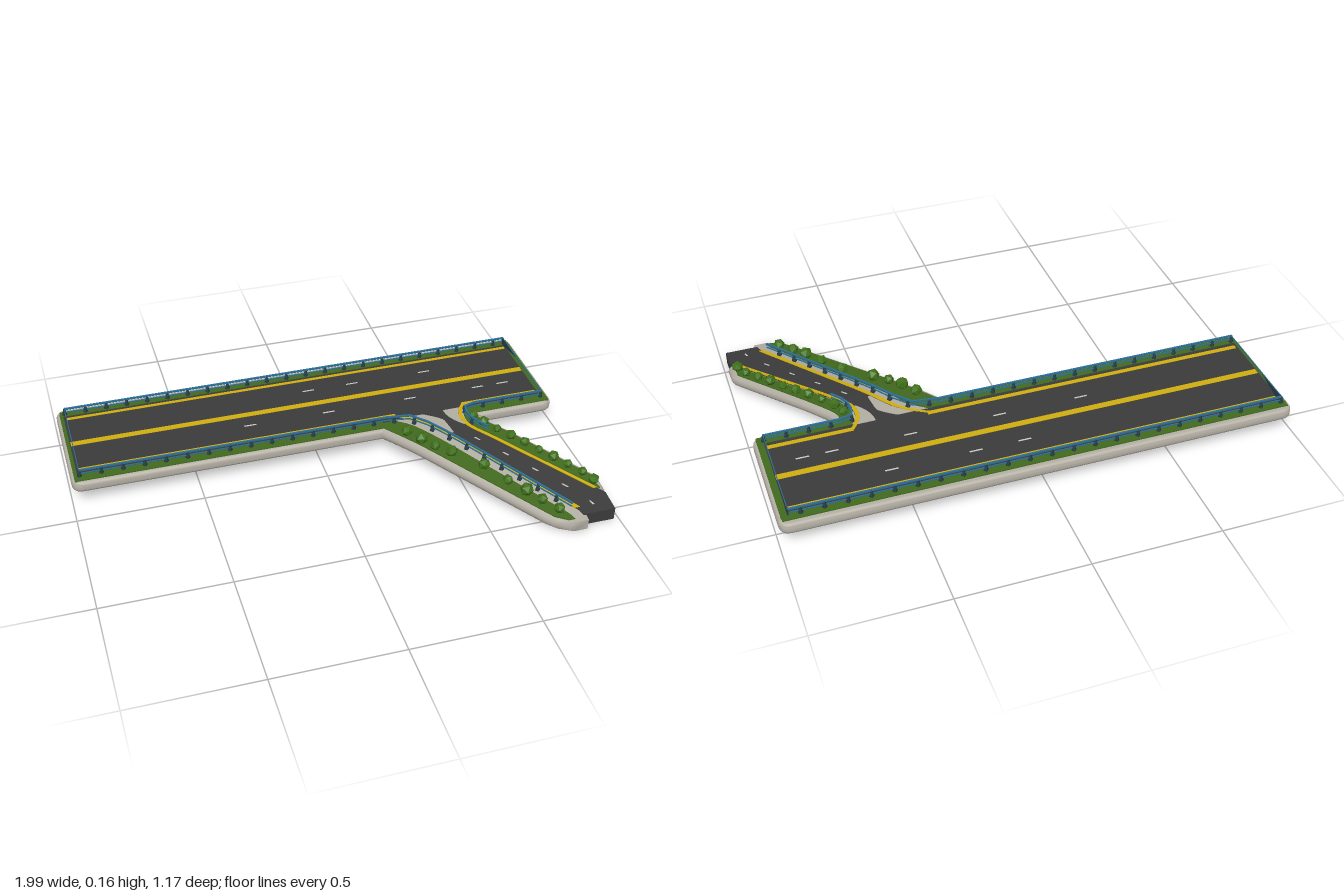
import * as THREE from 'three';
import { toCreasedNormals } from 'three/addons/utils/BufferGeometryUtils.js';

const mat = (name, color) => {
  const m = new THREE.MeshStandardMaterial({ color });
  m.name = name;
  return m;
};

export function createModel() {
  const root = new THREE.Group();
  root.name = 'highwayJunction';
  const concrete = mat('concrete', 0xb3aea3), asphalt = mat('asphalt', 0x3b3b3c);
  const grass = mat('grass', 0x41691f), leaf = mat('leaf', 0x3f7019);
  const yellow = mat('yellowPaint', 0xcfae10), white = mat('whitePaint', 0xc8c8c4);
  const blue = mat('blueRail', 0x2c6f98), post = mat('fencePost', 0x2b3f4a);

  const add = (name, geo, material, parent = root) => {
    const m = new THREE.Mesh(geo, material);
    m.name = name;
    parent.add(m);
    return m;
  };

  // The ramp slopes down with z; the main deck is level
  const drop = z => (z < -0.06 ? 0 : z < 0.1 ? -0.375 * (z + 0.06) ** 2 : -0.0096 - 0.12 * (z - 0.1));

  // Ramp edges as x for each z
  const outerL = z => 0.31 + 0.745 * z + Math.max(0, z - 0.55) * 1.2;
  const roadL = z => 0.487 + 0.67 * z - 6 * Math.max(0, -0.06 - z) ** 2;
  const roadR = z => Math.min(0.98, 0.615 + 0.78 * z + 4.4 * Math.max(0, 0.02 - z) ** 2);
  const outerR = z => Math.min(0.99, 0.72 + 0.735 * z + 8 * Math.max(0, -0.03 - z) ** 2);

  // Solid swept along z through counter-clockwise x,y sections
  const loft = (name, z0, z1, section, material) => {
    const rows = 24, pos = [], idx = [];
    let n = 0;
    for (let i = 0; i <= rows; i++) {
      const z = z0 + (z1 - z0) * i / rows, s = section(z);
      n = s.length;
      for (const [x, y] of s) pos.push(x, y + drop(z), z);
    }
    for (let i = 0; i < rows; i++) for (let j = 0; j < n; j++) {
      const a = i * n + j, b = i * n + (j + 1) % n;
      idx.push(a, b, b + n, a, b + n, a + n);
    }
    for (let j = 1; j < n - 1; j++) {
      const e = rows * n;
      idx.push(0, j + 1, j, e, e + j, e + j + 1);
    }
    const g = new THREE.BufferGeometry();
    g.setAttribute('position', new THREE.Float32BufferAttribute(pos, 3));
    g.setIndex(idx);
    return add(name, toCreasedNormals(g, 0.8), material);
  };
  const strip = (name, z0, z1, xa, xb, y0, y1, material) =>
    loft(name, z0, z1, z => [[xa(z), y0], [xb(z), y0], [xb(z), y1], [xa(z), y1]], material);

  // Level plate on the main deck
  const plate = (name, x0, x1, z0, z1, y0, y1, material) =>
    add(name, new THREE.BoxGeometry(x1 - x0, y1 - y0, z1 - z0), material)
      .position.set((x0 + x1) / 2, (y0 + y1) / 2, (z0 + z1) / 2);

  // Main deck slab with rounded rim
  const b = 0.014, x = 0.995 - b, zb = 0.59 - b, zf = 0.08 + b, r = 0.03;
  const s = new THREE.Shape();
  s.moveTo(-x + r, zf);
  s.lineTo(x - r, zf); s.quadraticCurveTo(x, zf, x, zf + r);
  s.lineTo(x, zb - r); s.quadraticCurveTo(x, zb, x - r, zb);
  s.lineTo(-x + r, zb); s.quadraticCurveTo(-x, zb, -x, zb - r);
  s.lineTo(-x, zf + r); s.quadraticCurveTo(-x, zf, -x + r, zf);
  const slab = new THREE.ExtrudeGeometry(s, {
    depth: 0.045 - 2 * b, bevelThickness: b, bevelSize: b, bevelSegments: 4, curveSegments: 6,
  });
  slab.rotateX(-Math.PI / 2);
  slab.translate(0, 0.07 + b, 0);
  add('mainDeck', toCreasedNormals(slab, 0.7), concrete);
  plate('mainUnderside', -0.975, 0.975, -0.575, -0.095, 0.0685, 0.072, asphalt);

  // Main grass border and carriageway
  plate('grassBack', -0.98, 0.98, -0.565, -0.52, 0.112, 0.119, grass);
  plate('grassFrontRight', -0.98, 0.27, -0.14, -0.096, 0.112, 0.119, grass);
  plate('grassFrontLeft', 0.63, 0.98, -0.14, -0.096, 0.112, 0.119, grass);
  for (const k of [-1, 1]) {
    plate('grassEnd', k * 0.968 - 0.014, k * 0.968 + 0.014, -0.55, -0.1, 0.112, 0.1185, grass);
  }
  plate('mainRoad', -0.968, 0.957, -0.53, -0.135, 0.112, 0.12, asphalt);
  plate('stripeBack', -0.96, 0.95, -0.516, -0.501, 0.119, 0.1215, yellow);
  plate('stripeMiddle', -0.965, 0.955, -0.349, -0.322, 0.119, 0.1215, yellow);
  plate('stripeFrontRight', -0.96, 0.335, -0.172, -0.153, 0.119, 0.1215, yellow);
  plate('stripeFrontLeft', 0.625, 0.95, -0.172, -0.153, 0.119, 0.1215, yellow);
  for (const [dx, dz] of [[0.04, -0.43], [0.23, -0.43], [0.55, -0.43], [-0.25, -0.26],
    [0.08, -0.26], [0.43, -0.26], [0.73, -0.26], [0.84, -0.26]]) {
    plate('laneDash', dx - 0.025, dx + 0.025, dz - 0.003, dz + 0.003, 0.119, 0.1215, white);
  }

  // Ramp shoulders with rounded outer edges
  const shoulder = (out, inn, k) => z => {
    const o = out(z), i = inn(z);
    const pts = [[i, 0.07], [o - k * 0.016, 0.07], [o - k * 0.004, 0.078], [o, 0.092],
      [o - k * 0.004, 0.107], [o - k * 0.016, 0.115], [i, 0.115]];
    return k > 0 ? pts : pts.reverse();
  };
  loft('rampShoulderRight', -0.1, 0.585, shoulder(outerL, z => Math.min(0.86, roadL(z) + 0.01), -1), concrete);
  loft('rampShoulderLeft', -0.1, 0.45, shoulder(outerR, z => roadR(z) - 0.01, 1), concrete);
  strip('rampUnderside', -0.1, 0.45, z => outerL(z) + 0.016, z => outerR(z) - 0.016, 0.0685, 0.073, asphalt);
  strip('rampRoad', -0.15, 0.56, z => Math.min(0.85, roadL(z)), roadR, 0.068, 0.1195, asphalt);

  // Ramp planting strips and edge lines
  strip('rampGrassRight', -0.13, 0.57, z => outerL(z) + 0.025,
    z => Math.min(roadL(z) - 0.05, 0.81), 0.112, 0.119, grass);
  strip('rampGrassLeft', -0.13, 0.44, z => roadR(z) + 0.008,
    z => Math.max(roadR(z) + 0.012, outerR(z) - 0.025), 0.112, 0.119, grass);
  strip('rampLineRight', -0.165, 0.52, z => roadL(z) - 0.004, z => roadL(z) + 0.015, 0.117, 0.1225, yellow);
  strip('rampLineLeft', -0.165, 0.44, z => roadR(z) - 0.016, roadR, 0.117, 0.1225, yellow);
  for (let z = 0.06; z < 0.5; z += 0.11) {
    const mid = q => (roadL(q) + roadR(q)) / 2;
    strip('rampDash', z, z + 0.02, q => mid(q) - 0.003, q => mid(q) + 0.003, 0.117, 0.1215, white);
  }

  // Grey islands at the mouth of the ramp
  strip('islandRight', -0.135, 0.01, z => roadL(z) + 0.02,
    z => roadL(z) + 0.03 + 0.05 * Math.min(1, (0.01 - z) / 0.09), 0.117, 0.1225, concrete);
  strip('islandLeft', -0.14, -0.03, z => roadR(z) - 0.02 - 0.6 * (-0.03 - z), z => roadR(z) - 0.016, 0.117, 0.1225, concrete);

  // Fences: two blue rails on tapered posts
  const beam = (p, q, t, parent) => {
    const m = add('rail', new THREE.BoxGeometry(t, t, p.distanceTo(q) + t * 0.5), blue, parent);
    m.position.copy(p).lerp(q, 0.5);
    m.lookAt(q);
  };
  const postGeo = new THREE.CylinderGeometry(0.004, 0.011, 0.034, 4).translate(0, 0.017, 0);
  const fence = (name, pts, spacing = 0.085) => {
    const g = new THREE.Group();
    g.name = name;
    const at = ([px, pz], h) => new THREE.Vector3(px, 0.115 + drop(pz) + h, pz);
    let carry = 0;
    for (let i = 0; i + 1 < pts.length; i++) {
      beam(at(pts[i], 0.033), at(pts[i + 1], 0.033), 0.007, g);
      beam(at(pts[i], 0.017), at(pts[i + 1], 0.017), 0.004, g);
      const p = at(pts[i], 0), q = at(pts[i + 1], 0), len = p.distanceTo(q);
      for (; carry <= len; carry += spacing) add('post', postGeo, post, g).position.lerpVectors(p, q, carry / len);
      carry -= len;
    }
    root.add(g);
  };
  const along = (f, z0, z1, n) => Array.from({ length: n + 1 }, (_, i) => {
    const z = z0 + (z1 - z0) * i / n;
    return [f(z), z];
  });
  fence('fenceBack', [[-0.96, -0.543], [0.955, -0.543]]);
  fence('fenceRight', [[-0.96, -0.123], [0.28, -0.123], ...along(z => roadL(z) - 0.02, -0.11, 0.52, 10)]);
  fence('fenceLeft', [[0.955, -0.123], [0.66, -0.123], ...along(z => roadR(z) + 0.012, -0.11, 0.04, 4)]);

  // End rails with a brace panel at the back corner
  const brace = new THREE.Shape([[0.39, 0.146], [0.55, 0.15], [0.543, 0.115]].map(p => new THREE.Vector2(...p)));
  for (const k of [-0.96, 0.955]) {
    beam(new THREE.Vector3(k, 0.148, -0.543), new THREE.Vector3(k, 0.148, -0.123), 0.003, root);
    const g = new THREE.ExtrudeGeometry(brace, { depth: 0.004, bevelEnabled: false });
    add('endBrace', g.rotateY(Math.PI / 2), post).position.x = k - 0.002;
  }

  // Faceted bushes along both sides of the ramp
  const bushGeo = new THREE.IcosahedronGeometry(1, 0);
  const bushes = (name, list, size) => list.forEach(([bx, bz], i) => {
    const m = add(name, bushGeo, leaf), k = size * (1 + 0.12 * Math.sin(i * 2.3));
    m.position.set(bx, 0.117 + drop(bz) + k * 0.75, bz);
    m.scale.set(k, k * 0.95, k);
    m.rotation.set(i * 0.7, i * 1.9, 0);
  });
  bushes('bushRight', [[0.34, -0.03], [0.38, 0.03], [0.42, 0.08], [0.47, 0.13], [0.57, 0.23],
    [0.63, 0.33], [0.68, 0.4], [0.72, 0.46], [0.765, 0.52]], 0.025);
  bushes('bushLeft', Array.from({ length: 10 }, (_, i) => {
    const z = -0.06 + i * 0.052;
    return [(roadR(z) + outerR(z) - 0.01) / 2, z];
  }), 0.021);

  return root;
}
